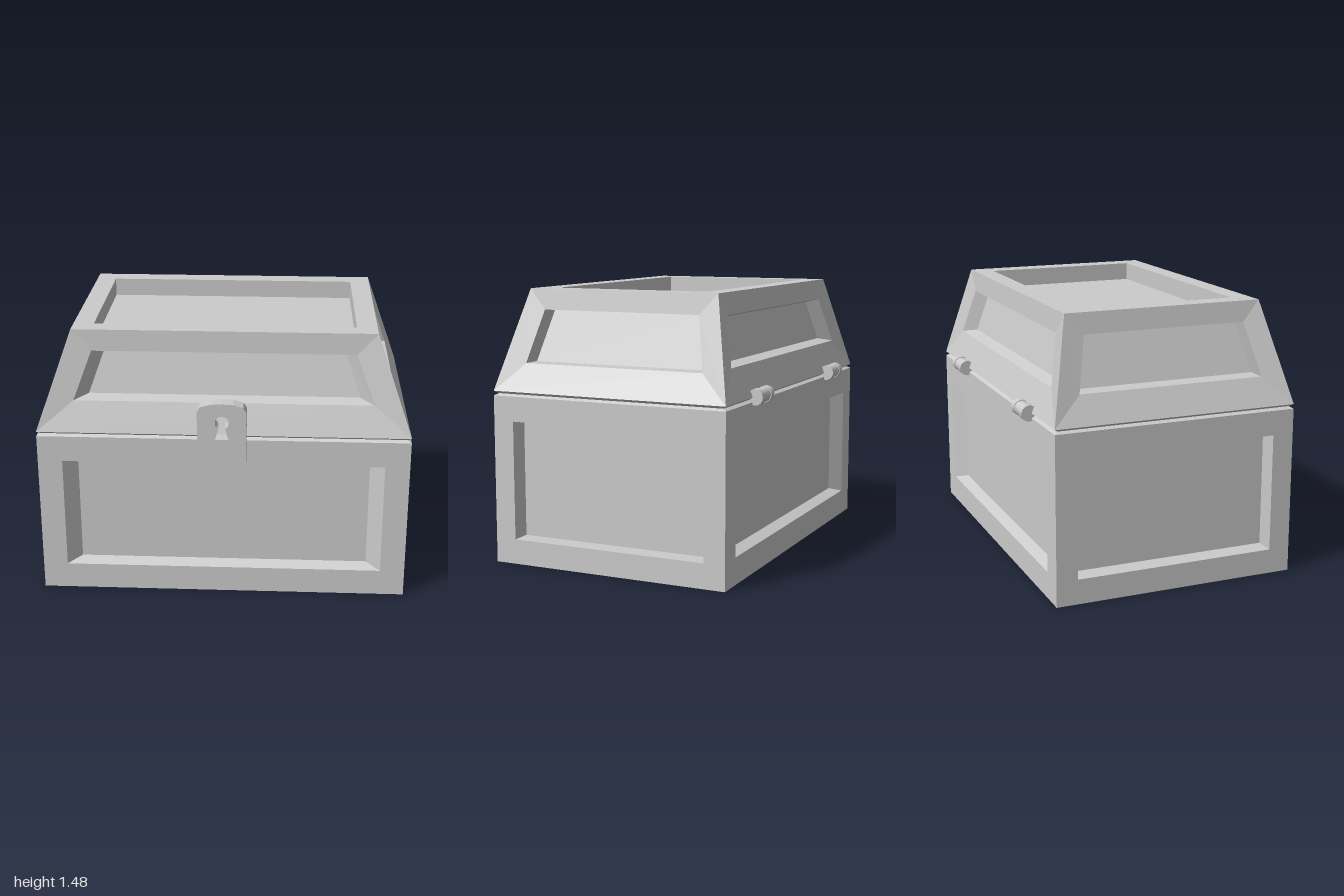
import * as THREE from 'three';

const grey = new THREE.MeshStandardMaterial({ color: 0xcccccc, flatShading: true });
const smoothGrey = new THREE.MeshStandardMaterial({ color: 0xcccccc });
const CENTRE_Z = -0.0175;

// Maps from panel space (u across, v up, w outward) to each face of the chest
const front = ([u, v, w]) => [u, v, w];
const left = ([u, v, w]) => [w, v, -u];
const back = ([u, v, w]) => [-u, v, -w];
const right = ([u, v, w]) => [-w, v, u];
const above = ([u, v, w]) => [u, w, -v];
const below = ([u, v, w]) => [u, -w, v];

// A symmetric trapezoid from its bottom and top edge: [half width, v, w]
const ring = ([ub, vb, wb], [ut, vt, wt]) => [[-ub, vb, wb], [ub, vb, wb], [ut, vt, wt], [-ut, vt, wt]];

function addQuad(out, map, a, b, c, d) {
  [a, b, c, a, c, d].forEach((p) => out.push(...map(p)));
}

// Nested rings make a frame, the sloping walls of a recess and its floor
function addPanel(out, map, ...rings) {
  for (let k = 0; k < rings.length - 1; k++) {
    const o = rings[k], n = rings[k + 1];
    for (let i = 0; i < 4; i++) {
      const j = (i + 1) % 4;
      addQuad(out, map, o[i], o[j], n[j], n[i]);
    }
  }
  addQuad(out, map, ...rings[rings.length - 1]);
}

function shell(name, points) {
  const geo = new THREE.BufferGeometry();
  geo.setAttribute('position', new THREE.Float32BufferAttribute(points, 3));
  geo.computeVertexNormals();
  const mesh = new THREE.Mesh(geo, grey);
  mesh.name = name;
  mesh.position.z = CENTRE_Z;
  return mesh;
}

function makeBody() {
  const p = [];
  const D = 0.6725, top = 0.912, seam = 0.923, s = 0.02;
  for (const map of [front, back]) {
    addPanel(p, map,
      ring([1, 0, D], [1, top, D]),
      ring([0.867, 0.145, D], [0.867, 0.77, D]),
      ring([0.79, 0.17, D - 0.06], [0.79, 0.745, D - 0.06]));
    addQuad(p, map, ...ring([1, top, D], [1 - s, seam, D - s]));
  }
  for (const map of [left, right]) {
    addPanel(p, map,
      ring([D, 0, 1], [D, top, 1]),
      ring([0.555, 0.135, 1], [0.555, 0.778, 1]),
      ring([0.555, 0.135, 0.89], [0.555, 0.778, 0.89]));
    addQuad(p, map, ...ring([D, top, 1], [D - s, seam, 1 - s]));
  }
  addQuad(p, below, ...ring([1, -D, 0], [1, D, 0]));
  return shell('chestBody', p);
}

function makeLid() {
  const p = [];
  const D = 0.6725, d = 0.5475, seam = 0.923, base = 0.937, top = 1.475, s = 0.02;
  for (const map of [front, back]) {
    addPanel(p, map,
      ring([1, base, D], [0.81, top, d]),
      ring([0.8, 1.1, 0.615], [0.703, 1.36, 0.555]),
      ring([0.725, 1.118, 0.545], [0.645, 1.342, 0.493]));
    addQuad(p, map, ...ring([1 - s, seam, D - s], [1, base, D]));
  }
  for (const map of [left, right]) {
    addPanel(p, map,
      ring([D, base, 1], [d, top, 0.81]),
      ring([0.513, 1.085, 0.926], [0.45, 1.365, 0.829]),
      ring([0.513, 1.085, 0.816], [0.45, 1.365, 0.719]));
    addQuad(p, map, ...ring([D - s, seam, 1 - s], [D, base, 1]));
  }
  addPanel(p, above,
    ring([0.81, -d, top], [0.81, d, top]),
    ring([0.7, -0.44, top], [0.7, 0.44, top]),
    ring([0.7, -0.44, top - 0.1], [0.7, 0.44, top - 0.1]));
  return shell('chestLid', p);
}

// Arched plate with a keyhole, standing just off the front
function makeLock() {
  const pts = [[-0.13, 0.815], [0.128, 0.815], [0.128, 1.105], [0.112, 1.132], [0.06, 1.147],
    [0, 1.15], [-0.06, 1.147], [-0.114, 1.132], [-0.13, 1.105]];
  const plate = new THREE.Shape(pts.map(([x, y]) => new THREE.Vector2(x, y)));
  const hole = new THREE.Path();
  hole.moveTo(-0.035, 0.95);
  hole.lineTo(-0.018, 1.014);
  hole.absarc(0, 1.045, 0.036, -Math.PI * 2 / 3, -Math.PI * 7 / 3, true);
  hole.lineTo(0.018, 1.014);
  hole.lineTo(0.035, 0.95);
  hole.closePath();
  plate.holes.push(hole);
  const geo = new THREE.ExtrudeGeometry(plate, { depth: 0.078, bevelEnabled: false, curveSegments: 8 });
  const mesh = new THREE.Mesh(geo, grey);
  mesh.name = 'lockPlate';
  mesh.position.z = 0.67;
  return mesh;
}

// Two outer knuckles on a slightly thinner middle barrel
function makeHinge(x, name) {
  const hinge = new THREE.Group();
  hinge.name = name;
  for (const [offset, length, radius] of [[-0.062, 0.046, 0.043], [0, 0.085, 0.039], [0.062, 0.046, 0.043]]) {
    const geo = new THREE.CylinderGeometry(radius, radius, length, 24).rotateZ(Math.PI / 2);
    const knuckle = new THREE.Mesh(geo, smoothGrey);
    knuckle.name = 'hingeKnuckle';
    knuckle.position.x = offset;
    hinge.add(knuckle);
  }
  hinge.position.set(x, 0.938, -0.703);
  return hinge;
}

export function createModel() {
  const chest = new THREE.Group();
  chest.name = 'chest';
  chest.add(makeBody(), makeLid(), makeLock(),
    makeHinge(0.566, 'leftHinge'), makeHinge(-0.57, 'rightHinge'));
  return chest;
}
